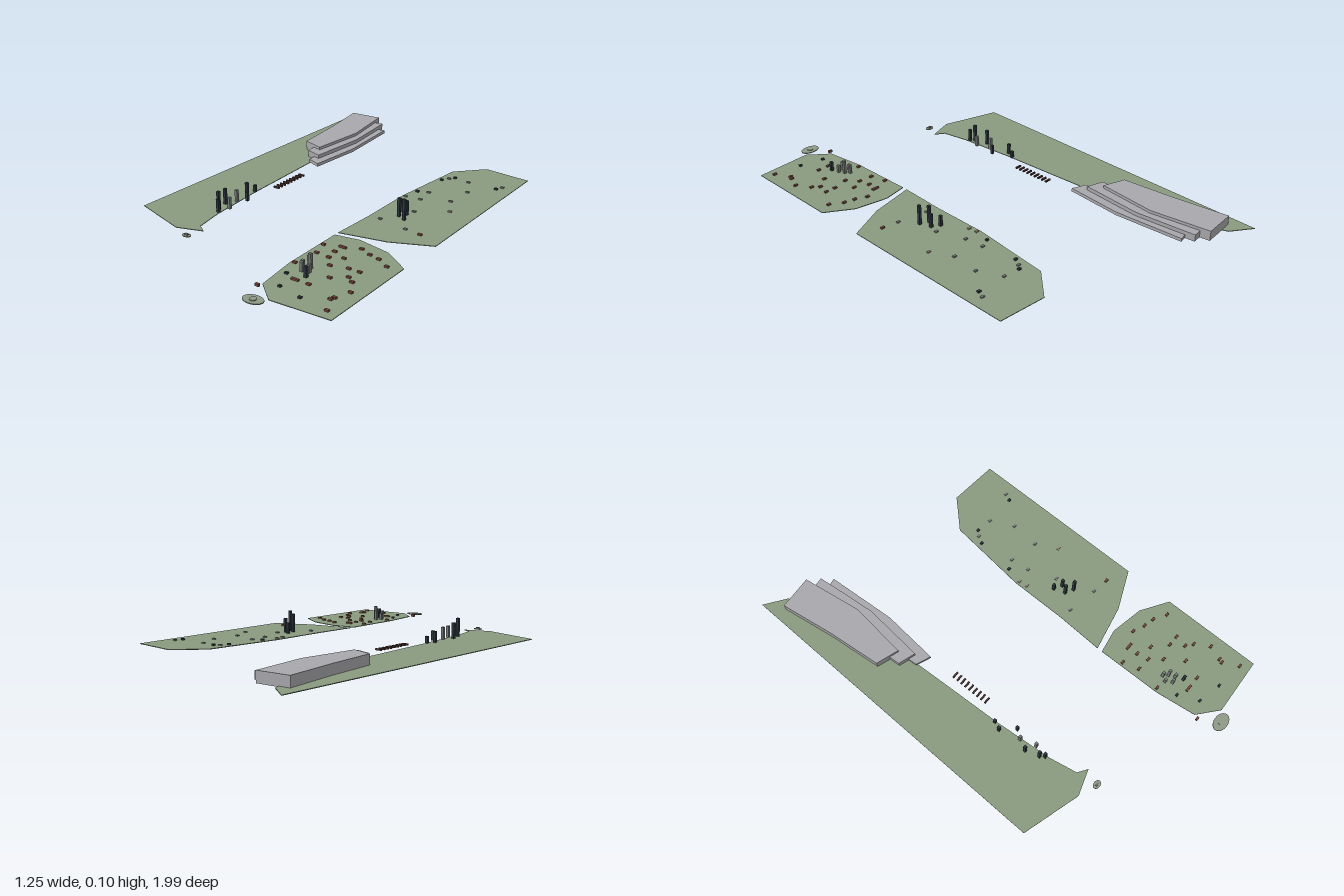
import * as THREE from 'three';

const material = (name, hex, side = THREE.FrontSide) => {
  const m = new THREE.MeshStandardMaterial({ color: hex, side });
  m.name = name;
  return m;
};

export function createModel() {
  const group = new THREE.Group();
  const grass = material('grass green', 0x8a9b80);
  const stone = material('terrace grey', 0xa9a9ad);
  const slate = material('dark slate', 0x2b343b);
  const concrete = material('concrete grey', 0x747a78);
  const brick = material('brick red', 0x74463b);
  const timber = material('dark timber', 0x4a302c);
  const islet = material('islet green grey', 0x8f9a86);
  const tan = material('pale tan', 0x94897a);

  const add = (name, geometry, mat, x = 0, y = 0, z = 0, parent = group) => {
    const mesh = new THREE.Mesh(geometry, mat);
    mesh.name = name;
    mesh.position.set(x, y, z);
    parent.add(mesh);
    return mesh;
  };
  // Plan outline in (x, z), extruded upward from y = 0
  const slab = (name, points, height, mat) => {
    const shape = new THREE.Shape(points.map(([x, z]) => new THREE.Vector2(x, -z)));
    const geo = new THREE.ExtrudeGeometry(shape, { depth: height, bevelEnabled: false });
    geo.rotateX(-Math.PI / 2);
    return add(name, geo, mat);
  };
  // Boxes standing on the ground: [x, z, height, material]
  const blocks = (name, list, w, d) => {
    const set = new THREE.Group();
    set.name = name + 's';
    group.add(set);
    for (const [x, z, h, mat] of list) {
      add(name, new THREE.BoxGeometry(w, h, d), mat, x, h / 2, z, set);
    }
  };

  // Land
  slab('westBank', [
    [-0.6, -1], [-0.5, -0.93], [-0.466, -0.83], [-0.375, -0.6], [-0.355, -0.28], [-0.345, -0.1],
    [-0.33, 0.2], [-0.305, 0.48], [-0.28, 0.61], [-0.235, 0.64], [-0.355, 0.68], [-0.63, 0.6],
  ], 0.003, grass);
  slab('northEastBank', [
    [0.4, -0.675], [0.625, -0.655], [0.625, 0.2], [0.445, 0.28], [0.23, 0.325], [0.24, 0.1],
    [0.24, -0.17], [0.28, -0.55],
  ], 0.003, grass);
  slab('southEastBank', [
    [0.23, 0.35], [0.345, 0.33], [0.5, 0.36], [0.625, 0.44], [0.625, 0.915], [0.355, 0.93],
    [0.26, 0.85], [0.235, 0.66],
  ], 0.003, grass);

  // Stepped terraces
  slab('upperTerrace', [
    [-0.545, -0.9], [-0.385, -0.912], [-0.368, -0.8], [-0.342, -0.63], [-0.37, -0.35],
    [-0.478, -0.385], [-0.505, -0.64],
  ], 0.048, stone);
  slab('middleTerrace', [
    [-0.47, -0.855], [-0.335, -0.87], [-0.325, -0.78], [-0.305, -0.58], [-0.33, -0.287],
    [-0.412, -0.312], [-0.43, -0.55],
  ], 0.034, stone);
  slab('lowerTerrace', [
    [-0.4, -0.81], [-0.295, -0.83], [-0.27, -0.5], [-0.292, -0.228], [-0.362, -0.255], [-0.38, -0.5],
  ], 0.016, stone);

  // Islets, each with a small building
  const oval = (name, x, z, rx, rz) => {
    const geo = new THREE.CylinderGeometry(1, 1, 0.004, 24);
    geo.scale(rx, 1, rz);
    add(name, geo, islet, x, 0.002, z);
  };
  oval('largeIslet', 0.308, 0.96, 0.046, 0.031);
  oval('smallIslet', -0.265, 0.71, 0.021, 0.015);
  const mound = new THREE.CylinderGeometry(0.015, 0.015, 0.007, 12);
  add('largeIsletMound', mound, islet, 0.308, 0.0035, 0.96);
  add('smallIsletHouse', new THREE.BoxGeometry(0.016, 0.01, 0.01), concrete, -0.265, 0.005, 0.71);

  // Row of piers
  blocks('pier', Array.from({ length: 9 }, (_, i) => [-0.283, -0.088 + i * 0.0233, 0.008, timber]), 0.032, 0.008);

  // Towers
  blocks('tower', [
    [-0.335, 0.19, 0.035, slate], [-0.352, 0.227, 0.055, slate], [-0.298, 0.288, 0.045, slate],
    [-0.325, 0.327, 0.06, concrete], [-0.35, 0.375, 0.077, slate], [-0.303, 0.4, 0.055, concrete],
    [-0.33, 0.44, 0.09, slate], [-0.315, 0.46, 0.065, slate],
    [0.33, -0.013, 0.055, slate], [0.367, 0.008, 0.07, slate],
    [0.348, 0.04, 0.09, slate], [0.386, 0.06, 0.1, slate],
    [0.315, 0.632, 0.05, concrete], [0.3, 0.656, 0.035, concrete], [0.333, 0.65, 0.07, concrete],
    [0.318, 0.685, 0.045, concrete], [0.347, 0.678, 0.04, concrete], [0.36, 0.714, 0.05, slate],
  ], 0.013, 0.013);

  // Low houses
  const houses = (mat, h, list) => list.map(([x, z]) => [x, z, h, mat]);
  blocks('brickHouse', houses(brick, 0.011, [
    [0.25, 0.455], [0.32, 0.43], [0.337, 0.43], [0.4, 0.4], [0.455, 0.423], [0.505, 0.435],
    [0.565, 0.47], [0.325, 0.48], [0.39, 0.508], [0.272, 0.53], [0.335, 0.535], [0.455, 0.568],
    [0.505, 0.568], [0.38, 0.588], [0.495, 0.625], [0.253, 0.647], [0.527, 0.65], [0.438, 0.67],
    [0.568, 0.717], [0.333, 0.757], [0.35, 0.757], [0.405, 0.757], [0.543, 0.783], [0.537, 0.8],
    [0.575, 0.873], [0.252, 0.87], [0.52, 0.15],
  ]), 0.018, 0.011);
  blocks('darkHouse', houses(slate, 0.011, [
    [0.333, -0.48], [0.293, -0.423], [0.553, -0.47], [0.273, -0.238], [0.283, 0.735],
    [0.327, 0.83], [0.44, 0.855],
  ]), 0.014, 0.011);
  blocks('greyHouse', houses(concrete, 0.009, [
    [0.41, -0.47], [0.568, -0.503], [0.463, -0.362], [0.32, -0.258], [0.453, -0.227], [0.33, -0.168],
    [0.378, -0.037], [0.298, 0.112], [0.442, 0.138], [0.313, -0.458],
  ]), 0.016, 0.011);
  blocks('tanHouse', houses(tan, 0.009, [
    [0.505, -0.127], [0.257, -0.16], [0.262, -0.12],
  ]), 0.016, 0.011);

  return group;
}
